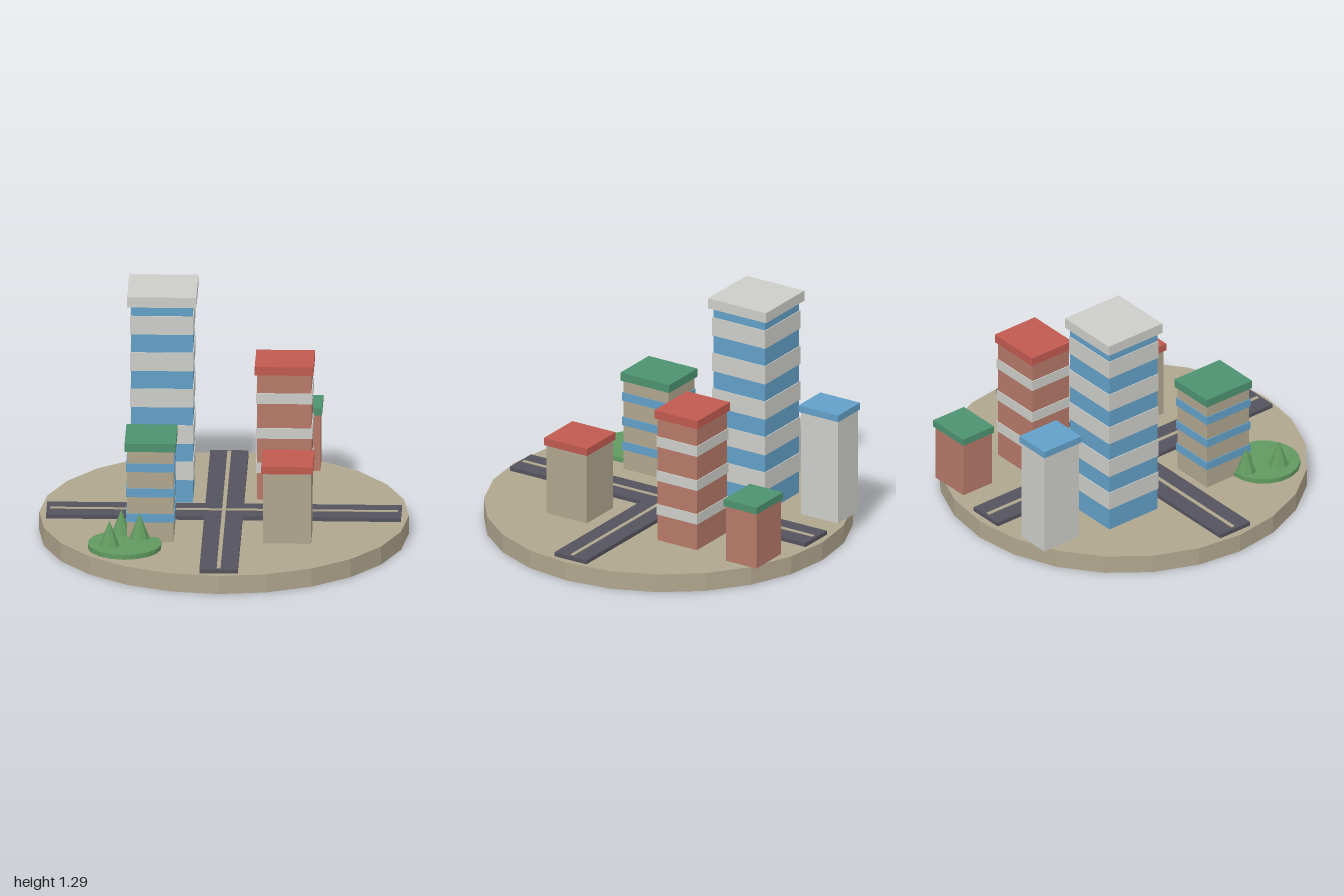
import * as THREE from 'three';

const mat = (name, color, flat = true) =>
  new THREE.MeshStandardMaterial({ name, color, flatShading: flat });

export function createModel() {
  const city = new THREE.Group();
  city.name = 'cityBlock';

  const sand = mat('sand', 0xb0a68e);
  const asphalt = mat('asphalt', 0x55535d);
  const white = mat('paleGrey', 0xcdcdc9);
  const blue = mat('blue', 0x62a0c8);
  const brick = mat('brick', 0xb67a68);
  const red = mat('red', 0xc05a50);
  const green = mat('roofGreen', 0x4d9270);
  const leaf = mat('leafGreen', 0x629a60);

  const GROUND = 0.104;

  const add = (parent, name, geometry, material, x, y, z) => {
    const mesh = new THREE.Mesh(geometry, material);
    mesh.name = name;
    mesh.position.set(x, y, z);
    parent.add(mesh);
    return mesh;
  };
  // Box given by its bottom and top heights
  const block = (parent, name, material, x, z, w, d, y0, y1) =>
    add(parent, name, new THREE.BoxGeometry(w, y1 - y0, d), material, x, (y0 + y1) / 2, z);

  // Round ground plate
  add(city, 'groundPlate', new THREE.CylinderGeometry(1, 1, GROUND, 24), sand, 0, GROUND / 2, 0);

  // Crossing roads with centre lines
  const roads = new THREE.Group();
  roads.name = 'roads';
  city.add(roads);
  block(roads, 'roadAcross', asphalt, 0, 0, 1.92, 0.208, GROUND, 0.127);
  block(roads, 'roadAlong', asphalt, 0, 0, 0.208, 1.92, GROUND, 0.1265);
  block(roads, 'lineAcross', sand, 0, 0, 1.885, 0.021, 0.125, 0.131);
  block(roads, 'lineAlong', sand, 0, 0, 0.021, 1.885, 0.125, 0.1305);

  // Buildings: body, slightly proud window bands, overhanging roof slab
  const buildings = [
    { name: 'tallTower', x: -0.342, z: -0.344, w: 0.335, d: 0.335, roofW: 0.375, roofD: 0.375,
      top: 1.227, roofTop: 1.286, body: blue, roof: white,
      band: white, bandH: 0.106, bands: [0.286, 0.494, 0.703, 0.911, 1.12] },
    { name: 'brickTower', x: 0.318, z: -0.366, w: 0.295, d: 0.255, roofW: 0.318, roofD: 0.28,
      top: 0.82, roofTop: 0.868, body: brick, roof: red,
      band: white, bandH: 0.06, bands: [0.286, 0.484, 0.684] },
    { name: 'parkHouse', x: -0.385, z: 0.316, w: 0.253, d: 0.293, roofW: 0.277, roofD: 0.317,
      top: 0.623, roofTop: 0.67, body: sand, roof: green,
      band: blue, bandH: 0.048, bands: [0.241, 0.385, 0.529] },
    { name: 'cornerHouse', x: 0.356, z: 0.339, w: 0.26, d: 0.26, roofW: 0.28, roofD: 0.28,
      top: 0.505, roofTop: 0.547, body: sand, roof: red, bands: [] },
    { name: 'slimBlock', x: -0.363, z: -0.804, w: 0.195, d: 0.24, roofW: 0.215, roofD: 0.258,
      top: 0.704, roofTop: 0.743, body: white, roof: blue, bands: [] },
    { name: 'brickHouse', x: 0.38, z: -0.803, w: 0.24, d: 0.198, roofW: 0.258, roofD: 0.215,
      top: 0.426, roofTop: 0.466, body: brick, roof: green, bands: [] },
  ];
  for (const b of buildings) {
    const g = new THREE.Group();
    g.name = b.name;
    city.add(g);
    block(g, 'walls', b.body, b.x, b.z, b.w, b.d, GROUND - 0.002, b.top);
    for (const y of b.bands) {
      block(g, 'band', b.band, b.x, b.z, b.w + 0.01, b.d + 0.01, y - b.bandH / 2, y + b.bandH / 2);
    }
    block(g, 'roof', b.roof, b.x, b.z, b.roofW, b.roofD, b.top, b.roofTop);
  }

  // Round park with three pointed trees
  const park = new THREE.Group();
  park.name = 'park';
  city.add(park);
  add(park, 'lawn', new THREE.CylinderGeometry(0.2, 0.2, 0.027, 18), leaf, -0.52, GROUND + 0.0135, 0.556);
  for (const [x, z] of [[-0.602, 0.598], [-0.442, 0.474], [-0.543, 0.416]]) {
    add(park, 'tree', new THREE.ConeGeometry(0.056, 0.142, 8), leaf, x, 0.2, z);
  }

  return city;
}
